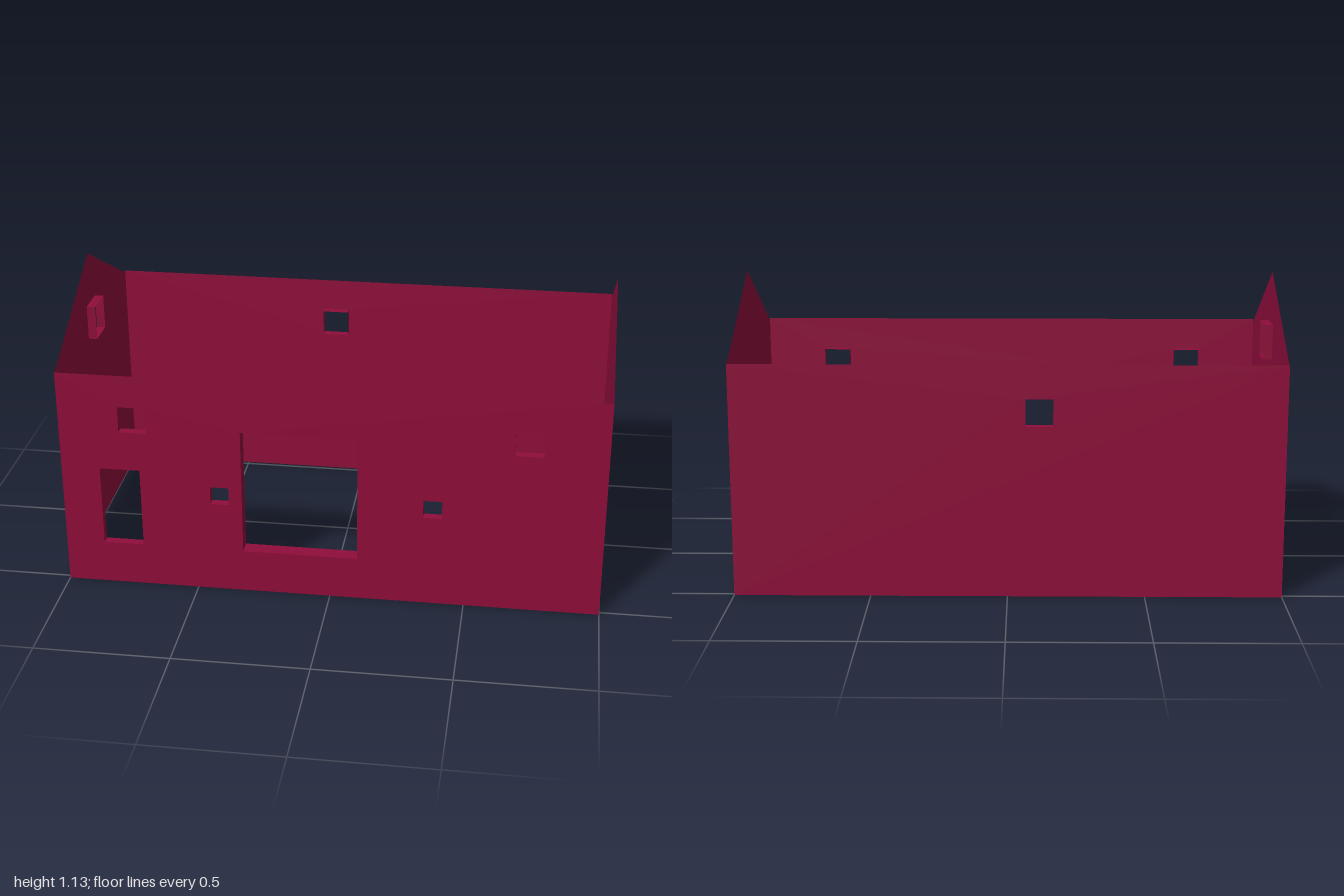
import * as THREE from 'three';

const HALF_LENGTH = 1, HALF_DEPTH = 0.515, WALL_TOP = 0.86, EAVE = 0.85, RIDGE = 1.126;

export function createModel() {
  const model = new THREE.Group();
  model.name = 'houseShell';
  const crimson = new THREE.MeshStandardMaterial({ color: 0x8e0d3a, side: THREE.DoubleSide });
  crimson.name = 'crimson';

  // Open rectangular sleeve running inward from a wall opening
  function sleeveGeometry({ x0, x1, y0, y1, depth }) {
    const corners = [[x0, y0], [x1, y0], [x1, y1], [x0, y1]];
    const positions = [];
    corners.forEach(([ax, ay], i) => {
      const [bx, by] = corners[(i + 1) % 4];
      positions.push(ax, ay, 0, bx, by, -depth, bx, by, 0);
      positions.push(ax, ay, 0, ax, ay, -depth, bx, by, -depth);
    });
    const geometry = new THREE.BufferGeometry();
    geometry.setAttribute('position', new THREE.Float32BufferAttribute(positions, 3));
    geometry.computeVertexNormals();
    return geometry;
  }

  // Thin wall facing local +z, with openings and their reveals
  function addWall(name, outline, openings, position, turn) {
    const wall = new THREE.Group();
    wall.name = name;
    const shape = new THREE.Shape(outline.map(([x, y]) => new THREE.Vector2(x, y)));
    for (const o of openings) {
      shape.holes.push(new THREE.Path([
        new THREE.Vector2(o.x0, o.y0), new THREE.Vector2(o.x0, o.y1),
        new THREE.Vector2(o.x1, o.y1), new THREE.Vector2(o.x1, o.y0),
      ]));
      const reveal = new THREE.Mesh(sleeveGeometry(o), crimson);
      reveal.name = o.name + 'Reveal';
      wall.add(reveal);
    }
    const panel = new THREE.Mesh(new THREE.ShapeGeometry(shape), crimson);
    panel.name = name + 'Panel';
    wall.add(panel);
    wall.position.set(...position);
    wall.rotation.y = turn;
    model.add(wall);
  }

  const opening = (name, x0, x1, y0, y1, depth = 0.033) => ({ name, x0, x1, y0, y1, depth });
  const longWall = [[-HALF_LENGTH, 0], [HALF_LENGTH, 0], [HALF_LENGTH, WALL_TOP], [-HALF_LENGTH, WALL_TOP]];
  const gable = [[-HALF_DEPTH, 0], [HALF_DEPTH, 0], [HALF_DEPTH, EAVE], [0, RIDGE], [-HALF_DEPTH, EAVE]];

  // Front wall with the large doorway, side door and windows
  addWall('frontWall', longWall, [
    opening('largeDoorway', -0.325, 0.103, 0.168, 0.66, 0.057),
    opening('sideDoor', -0.855, -0.705, 0.168, 0.48),
    opening('upperRightWindow', -0.775, -0.673, 0.634, 0.735),
    opening('upperLeftWindow', 0.668, 0.77, 0.634, 0.735),
    opening('smallRightWindow', -0.443, -0.374, 0.36, 0.43),
    opening('smallLeftWindow', 0.344, 0.413, 0.36, 0.43),
  ], [0, 0, HALF_DEPTH], 0);

  // Back wall with one window
  addWall('backWall', longWall, [opening('backWindow', 0.064, 0.164, 0.634, 0.735)],
    [0, 0, -HALF_DEPTH], Math.PI);

  // Gable ends
  addWall('rightGable', gable, [opening('gableWindow', -0.06, 0.058, 0.797, 0.93)],
    [-HALF_LENGTH, 0, 0], -Math.PI / 2);
  addWall('leftGable', gable, [], [HALF_LENGTH, 0, 0], Math.PI / 2);

  return model;
}
